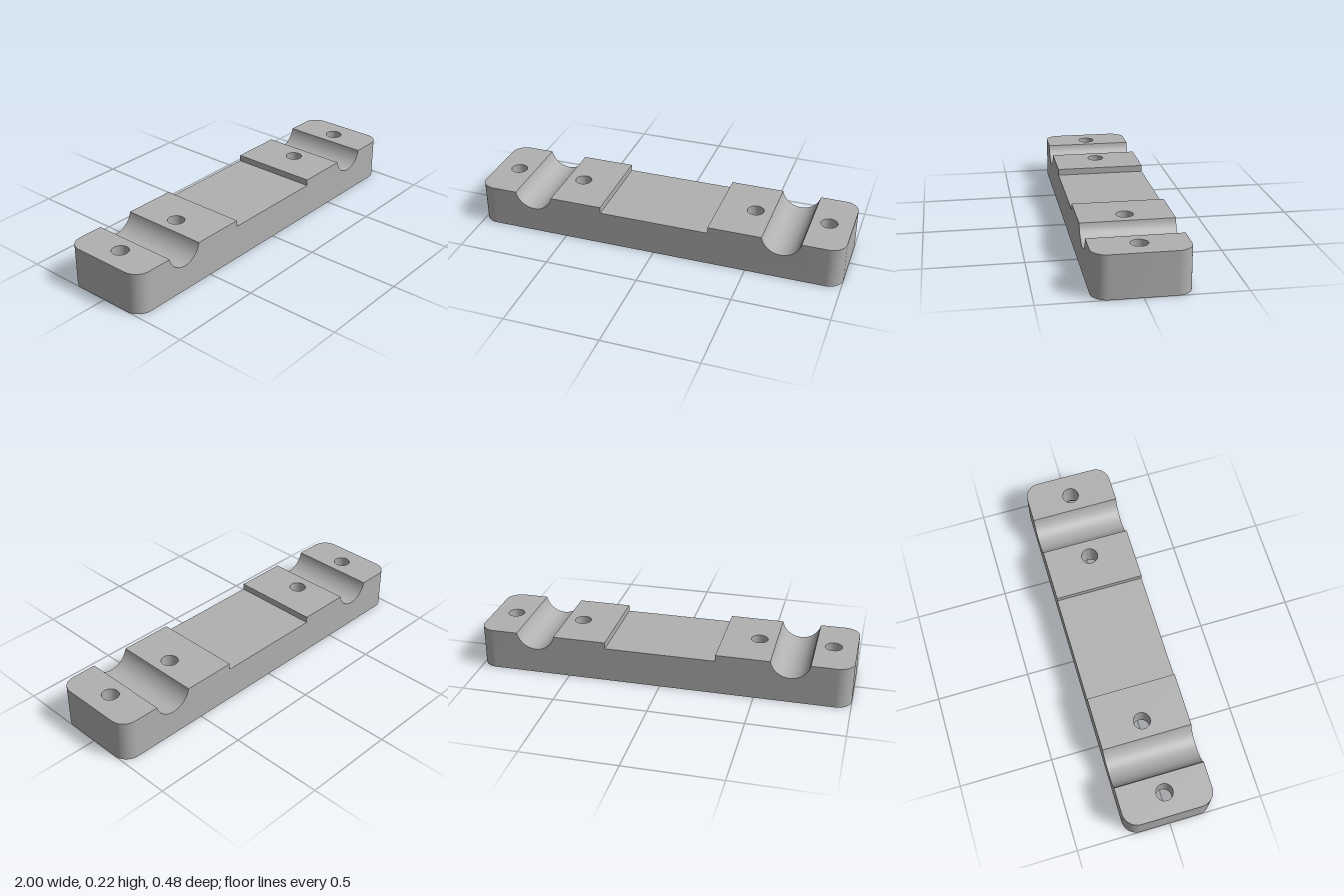
import * as THREE from 'three';
import { mergeGeometries, toCreasedNormals } from 'three/addons/utils/BufferGeometryUtils.js';

const H = 0.221, D = 0.239, R = 0.08;           // height, half depth, corner radius
const RECESS_X = 0.295, RECESS_Y = 0.187;       // shallow centre recess
const GROOVE_X = 0.682, GROOVE_Y = 0.242, GROOVE_R = 0.105;
const HOLES = [0.488, 0.877], HOLE_R = 0.044;
const BORE_R = 0.084, BORE_DEPTH = 0.08;        // counterbore underneath

// Points on an arc as [u, v] pairs
function arc(u, v, r, from, to, n) {
  return Array.from({ length: n + 1 }, (_, i) => {
    const a = from + (to - from) * i / n;
    return [u + r * Math.cos(a), v + r * Math.sin(a)];
  });
}

function shapeOf(points, holes = [], r = 0) {
  const shape = new THREE.Shape(points.map(p => new THREE.Vector2(...p)));
  for (const x of holes) shape.holes.push(new THREE.Path().absarc(x, 0, r, 0, Math.PI * 2, true));
  return shape;
}

const flat = shape => new THREE.ShapeGeometry(shape, 24);

// Open band swept from a line of points along one direction
function ribbon(points, dir) {
  const pos = [], idx = [];
  points.forEach(([x, y, z], i) => {
    pos.push(x, y, z, x + dir[0], y + dir[1], z + dir[2]);
    if (i) { const a = 2 * i - 2; idx.push(a, a + 2, a + 3, a, a + 3, a + 1); }
  });
  const g = new THREE.BufferGeometry();
  g.setAttribute('position', new THREE.Float32BufferAttribute(pos, 3));
  g.setIndex(idx);
  return g;
}

// Join faces into one geometry with crisp edges and smooth curves
function join(parts) {
  const plain = parts.map(p => {
    const g = p.index ? p.toNonIndexed() : p;
    g.deleteAttribute('uv');
    g.deleteAttribute('normal');
    return g;
  });
  const g = mergeGeometries(plain);
  g.computeVertexNormals();
  return toCreasedNormals(g, 0.4);
}

export function createModel() {
  const model = new THREE.Group();
  model.name = 'clampBar';
  const grey = new THREE.MeshStandardMaterial({ color: 0xb0b0b0 });
  grey.name = 'grey';

  // Right half of the side profile
  const half = Math.asin((GROOVE_Y - H) / GROOVE_R);
  const groove = arc(GROOVE_X, GROOVE_Y, GROOVE_R, Math.PI + half, 2 * Math.PI - half, 28);
  const gIn = groove[0][0], gOut = groove[groove.length - 1][0];
  const profile = [[RECESS_X, RECESS_Y], [RECESS_X, H], ...groove, [1 - R, H]];
  const mirrored = profile.map(([x, y]) => [-x, y]).reverse();

  // Plan outline of the rounded end, from front to back
  const end = [
    ...arc(1 - R, D - R, R, Math.PI / 2, 0, 12),
    ...arc(1 - R, R - D, R, 0, -Math.PI / 2, 12),
  ];
  const plan = [...end, ...end.map(([x, z]) => [-x, -z])].reverse();

  const faces = [];
  const both = make => faces.push(make(), make().rotateY(Math.PI));

  // Underside with counterbore openings
  faces.push(flat(shapeOf(plan, [...HOLES, ...HOLES.map(x => -x)], BORE_R)).rotateX(Math.PI / 2));

  // Front and back walls
  both(() => flat(shapeOf([[R - 1, 0], [1 - R, 0], ...[...profile].reverse(), ...[...mirrored].reverse()]))
    .translate(0, 0, D));

  // Rounded end walls
  both(() => ribbon(end.map(([x, z]) => [x, 0, z]), [0, H, 0]));

  // Top pads on either side of each groove
  const padIn = [[RECESS_X, -D], [gIn, -D], [gIn, D], [RECESS_X, D]];
  const padOut = [[gOut, D], ...end, [gOut, -D]];
  [padIn, padOut].forEach((pad, i) =>
    both(() => flat(shapeOf(pad, [HOLES[i]], HOLE_R)).rotateX(-Math.PI / 2).translate(0, H, 0)));

  // Round grooves and the centre recess
  const across = [0, 0, -2 * D];
  both(() => ribbon(groove.map(([x, y]) => [x, y, D]), across));
  faces.push(ribbon([[-RECESS_X, H, D], [-RECESS_X, RECESS_Y, D], [RECESS_X, RECESS_Y, D], [RECESS_X, H, D]], across));

  const body = new THREE.Mesh(join(faces), grey);
  body.name = 'body';
  model.add(body);

  // Stepped screw hole linings
  const lining = [[HOLE_R, H], [HOLE_R, BORE_DEPTH], [BORE_R, BORE_DEPTH], [BORE_R, 0]]
    .map(p => new THREE.Vector2(...p));
  const holeGeometry = join([new THREE.LatheGeometry(lining, 48)]);
  for (const x of HOLES) for (const side of [-1, 1]) {
    const hole = new THREE.Mesh(holeGeometry, grey);
    hole.name = 'screwHole';
    hole.position.x = side * x;
    model.add(hole);
  }
  return model;
}
